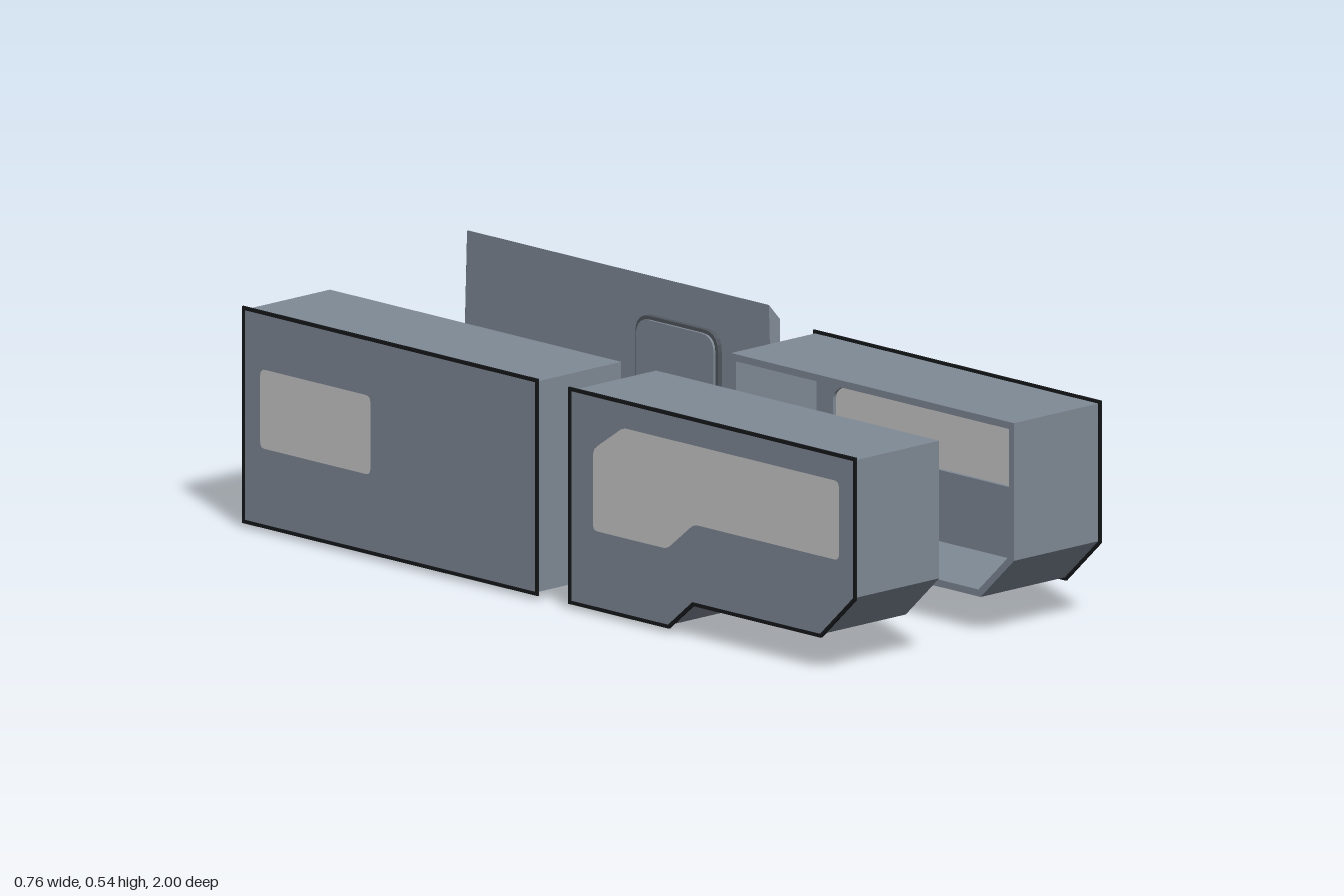
import * as THREE from 'three';

const hull = new THREE.MeshStandardMaterial({ color: 0x808a96 });
const dark = new THREE.MeshStandardMaterial({ color: 0x15171a });
const gasket = new THREE.MeshStandardMaterial({ color: 0x50565e });
const glass = new THREE.MeshStandardMaterial({ color: 0xcccccc });

// Move every edge of a counter-clockwise (z, y) outline inwards by d
function inset(points, d) {
  const n = points.length;
  return points.map((p, i) => {
    const a = points[(i + n - 1) % n], b = points[(i + 1) % n];
    const normal = (s, e) => {
      const l = Math.hypot(e[0] - s[0], e[1] - s[1]);
      return [-(e[1] - s[1]) / l, (e[0] - s[0]) / l];
    };
    const m = normal(a, p), k = normal(p, b);
    const f = d / (1 + m[0] * k[0] + m[1] * k[1]);
    return [p[0] + (m[0] + k[0]) * f, p[1] + (m[1] + k[1]) * f];
  });
}

// Outline with rounded corners
function outline(points, r = 0, Type = THREE.Shape) {
  const s = new Type();
  if (!r) return s.setFromPoints(points.map(p => new THREE.Vector2(...p)));
  const n = points.length;
  points.forEach((p, i) => {
    const toward = q => {
      const l = Math.hypot(q[0] - p[0], q[1] - p[1]);
      return [p[0] + (q[0] - p[0]) * r / l, p[1] + (q[1] - p[1]) * r / l];
    };
    const from = toward(points[(i + n - 1) % n]), to = toward(points[(i + 1) % n]);
    if (i) s.lineTo(...from); else s.moveTo(...from);
    s.quadraticCurveTo(...p, ...to);
  });
  s.closePath();
  return s;
}

// Extrude a (z, y) outline across x, from x0 to x1
function slab(name, points, x0, x1, material, { r = 0, hole, holeR = 0 } = {}) {
  const shape = outline(points, r);
  if (hole) shape.holes.push(outline(hole, holeR, THREE.Path));
  const g = new THREE.ExtrudeGeometry(shape, { depth: x1 - x0, bevelEnabled: false, curveSegments: 5 });
  g.rotateY(-Math.PI / 2).translate(x1, 0, 0);
  const mesh = new THREE.Mesh(g, material);
  mesh.name = name;
  return mesh;
}

const rect = (z0, z1, y0, y1) => [[z0, y0], [z1, y0], [z1, y1], [z0, y1]];

// Hollow pod, open towards the middle, with a window in its outer wall
function pod(name, side, profile, win) {
  const group = new THREE.Group();
  group.name = name;
  const span = (a, b) => (side > 0 ? [a, b] : [-b, -a]);
  group.add(
    slab('podShell', profile, ...span(0.115, 0.362), hull, { hole: inset(profile, 0.016) }),
    slab('outerWall', profile, ...span(0.362, 0.377), hull, { hole: win, holeR: 0.015 }),
    slab('edgeTrim', inset(profile, -0.007), ...span(0.374, 0.379), dark, { hole: inset(profile, 0.001) }),
    slab('windowPane', win, ...span(0.371, 0.376), glass, { r: 0.015 })
  );
  return group;
}

// Sheet with a sloping top edge and clipped upper corners
function sidePanel() {
  const s = outline([[0.35, 0.012], [0.366, 0.012], [0.366, 0.512], [0.35, 0.543]]);
  const z0 = -1, z1 = -0.008;
  const g = new THREE.ExtrudeGeometry(s, { depth: z1 - z0, bevelEnabled: false });
  g.translate(0, 0, z0);
  const p = g.attributes.position;
  for (let i = 0; i < p.count; i++) {
    if (p.getY(i) > 0.53) p.setZ(i, p.getZ(i) < -0.5 ? z0 + 0.018 : z1 - 0.018);
  }
  g.computeVertexNormals();
  const mesh = new THREE.Mesh(g, hull);
  mesh.name = 'sidePanel';
  return mesh;
}

export function createModel() {
  const model = new THREE.Group();
  model.name = 'vehicleSidePods';

  // Front pods with a stepped underside
  const frontProfile = [[0.096, 0.017], [0.405, 0.017], [0.482, 0.082], [0.887, 0.082],
    [0.993, 0.183], [0.993, 0.496], [0.096, 0.496]];
  const frontWindow = [[0.165, 0.19], [0.4, 0.19], [0.485, 0.26], [0.945, 0.26],
    [0.945, 0.44], [0.26, 0.44], [0.165, 0.375]];
  model.add(pod('frontLeftPod', 1, frontProfile, frontWindow));
  model.add(pod('frontRightPod', -1, frontProfile, frontWindow));

  // Plain rear pod with a short window
  model.add(pod('rearRightPod', -1, rect(-0.938, -0.015, 0.017, 0.496), rect(-0.89, -0.54, 0.19, 0.37)));

  // Flat panel with a sliding door
  const door = rect(-0.437, -0.175, 0, 0.455);
  const doorInner = inset(door, 0.008);
  const doorGroup = new THREE.Group();
  doorGroup.name = 'sideDoor';
  doorGroup.add(
    slab('doorFrame', door, 0.338, 0.37, gasket, { r: 0.045, hole: doorInner, holeR: 0.04 }),
    slab('doorLeaf', doorInner, 0.332, 0.368, hull, { r: 0.04 })
  );
  model.add(sidePanel(), doorGroup);
  return model;
}
